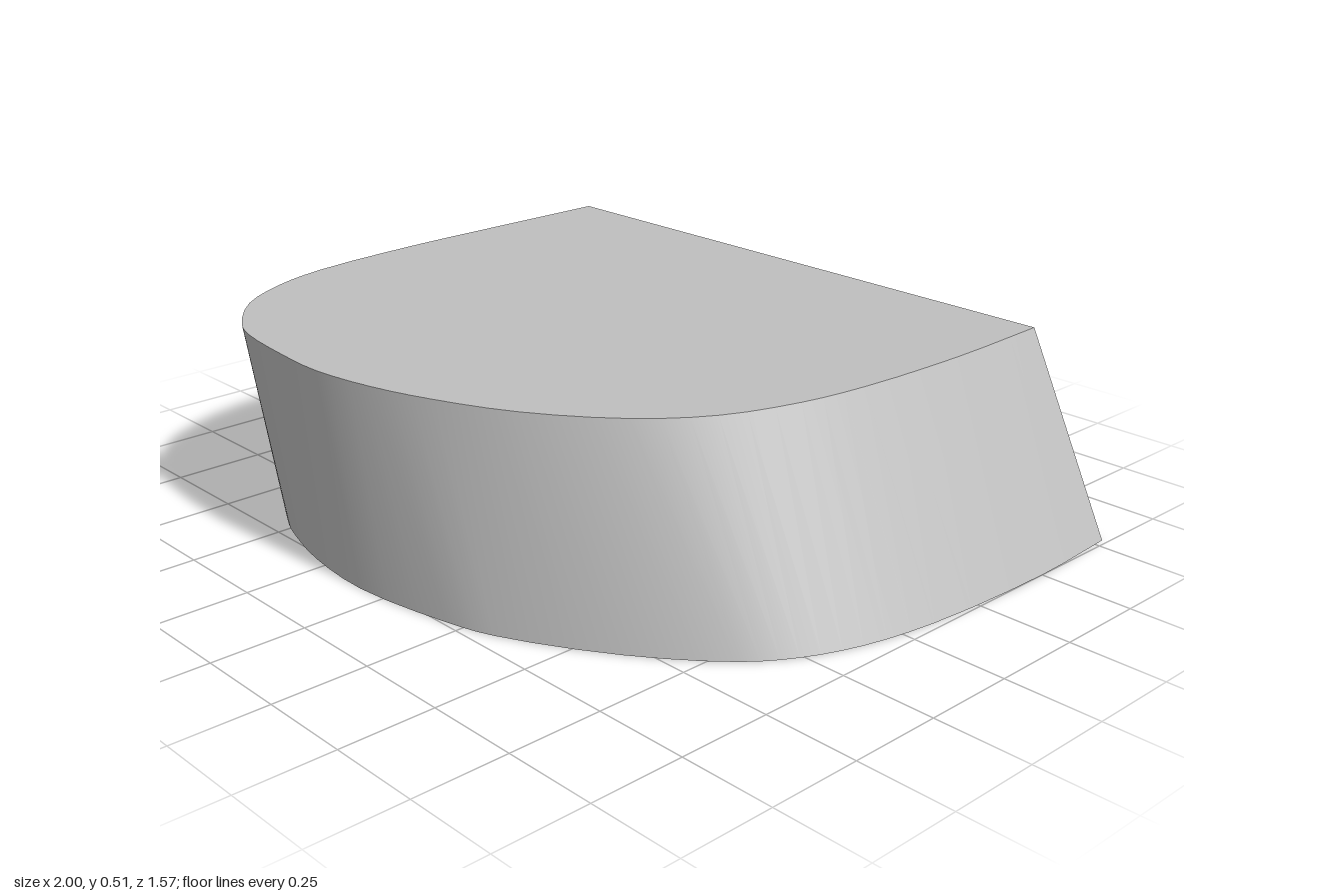
import * as THREE from 'three';

const HEIGHT = 0.515;
const STEPS = 54;

// Matching [x, z] points of the two rims, from the back right corner round the front to the back left corner
const TOP = [
  [-1, -0.785], [-1, -0.45], [-1, -0.1], [-0.97, 0.27], [-0.92, 0.44], [-0.83, 0.59], [-0.68, 0.705],
  [-0.6, 0.735], [-0.4, 0.76], [-0.25, 0.765], [-0.07, 0.735], [0.1, 0.68], [0.3, 0.585], [0.5, 0.43],
  [0.62, 0.27], [0.69, 0.07], [0.72, -0.12], [0.735, -0.45], [0.725, -0.785],
];
const BOTTOM = [
  [-0.67, -0.785], [-0.77, -0.45], [-0.84, -0.13], [-0.872, 0.28], [-0.82, 0.48], [-0.72, 0.586], [-0.53, 0.7],
  [-0.45, 0.73], [-0.3, 0.768], [-0.08, 0.785], [0.2, 0.74], [0.33, 0.7], [0.6, 0.545], [0.8, 0.375],
  [0.88, 0.26], [0.94, 0.11], [0.98, -0.1], [1, -0.5], [0.985, -0.785],
];

const rim = (points, y) =>
  new THREE.CatmullRomCurve3(points.map(([x, z]) => new THREE.Vector3(x, y, z))).getPoints(STEPS);

function surface(points, index) {
  const geometry = new THREE.BufferGeometry().setFromPoints(points);
  geometry.setIndex(index);
  geometry.computeVertexNormals();
  return geometry;
}

// Flat cap fanned from the first rim point
function cap(points, facingUp) {
  const index = [];
  for (let i = 1; i < points.length - 1; i++) index.push(0, ...(facingUp ? [i, i + 1] : [i + 1, i]));
  return surface(points, index);
}

// Curved wall ruled between the two rims
function wall(bottom, top) {
  const n = bottom.length;
  const index = [];
  for (let i = 0; i < n - 1; i++) index.push(i, i + 1, n + i + 1, i, n + i + 1, n + i);
  return surface([...bottom, ...top], index);
}

export function createModel() {
  const group = new THREE.Group();
  group.name = 'slantedBlock';
  const grey = new THREE.MeshStandardMaterial({ color: 0xbfbfbf });
  grey.name = 'grey';

  const add = (name, geometry) => {
    const mesh = new THREE.Mesh(geometry, grey);
    mesh.name = name;
    group.add(mesh);
  };

  const top = rim(TOP, HEIGHT);
  const bottom = rim(BOTTOM, 0);
  add('topFace', cap(top, true));
  add('bottomFace', cap(bottom, false));
  add('curvedWall', wall(bottom, top));
  // Flat back between the rim ends
  add('backFace', surface([bottom[STEPS], bottom[0], top[0], top[STEPS]], [0, 1, 2, 0, 2, 3]));

  return group;
}
